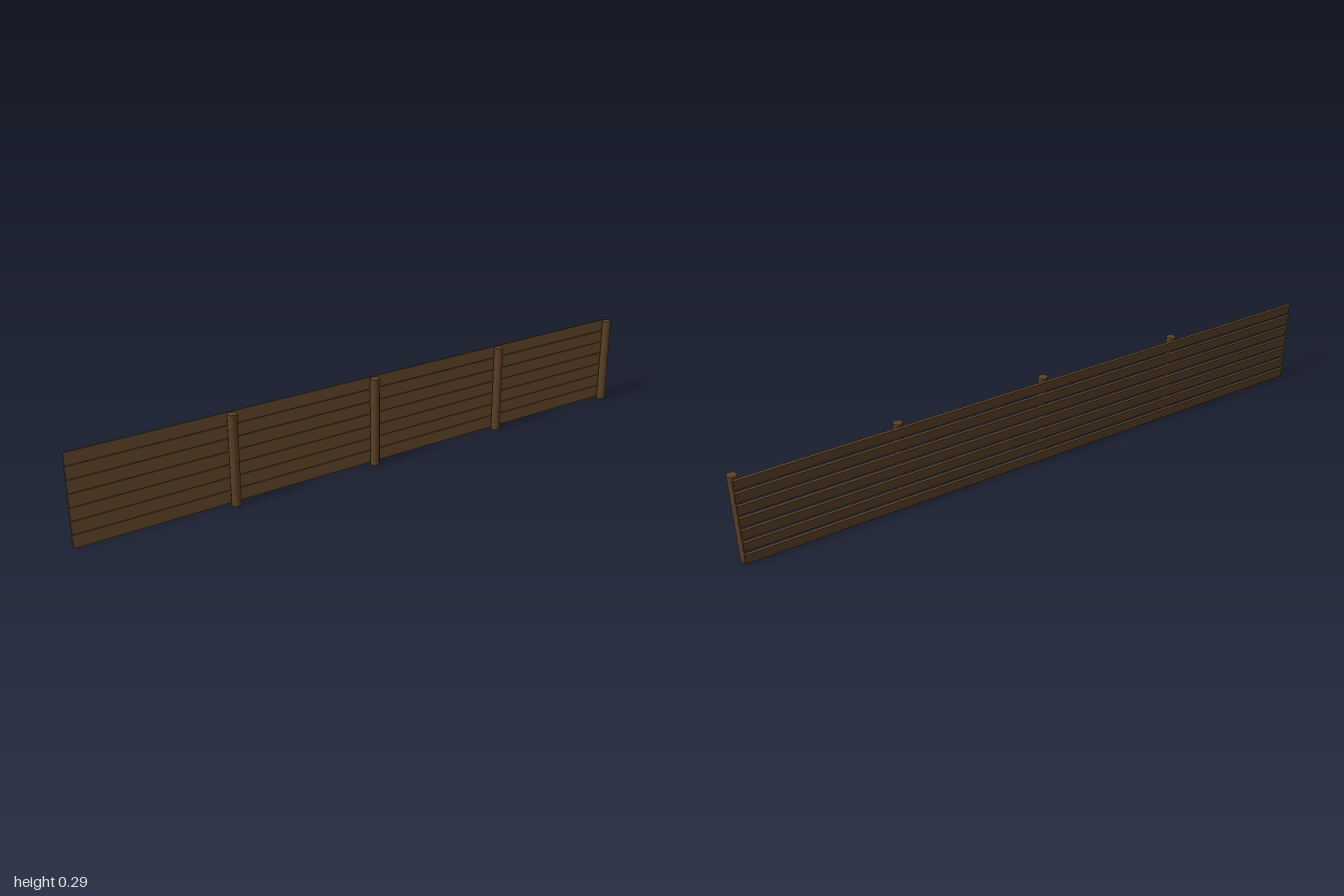
import * as THREE from 'three';

export function createModel() {
  const fence = new THREE.Group();
  fence.name = 'slattedFence';
  const wood = new THREE.MeshStandardMaterial({ color: 0x5a4026 });

  // Round upright posts, the last one flush with the left end
  const postHeight = 0.291;
  const postGeometry = new THREE.CylinderGeometry(0.015, 0.015, postHeight, 12);
  for (let i = 0; i < 4; i++) {
    const post = new THREE.Mesh(postGeometry, wood);
    post.name = `post${i + 1}`;
    post.position.set(0.985 - i * 0.4965, postHeight / 2, 0.007);
    fence.add(post);
  }

  // Tilted louvre slats along the back of the posts
  const slatStart = -1, slatEnd = 0.992;
  const slatGeometry = new THREE.BoxGeometry(slatEnd - slatStart, 0.037, 0.008);
  for (let i = 0; i < 7; i++) {
    const slat = new THREE.Mesh(slatGeometry, wood);
    slat.name = `slat${i + 1}`;
    slat.position.set((slatStart + slatEnd) / 2, 0.0208 + i * 0.0416, -0.0145);
    slat.rotation.x = -0.21;
    fence.add(slat);
  }

  return fence;
}
